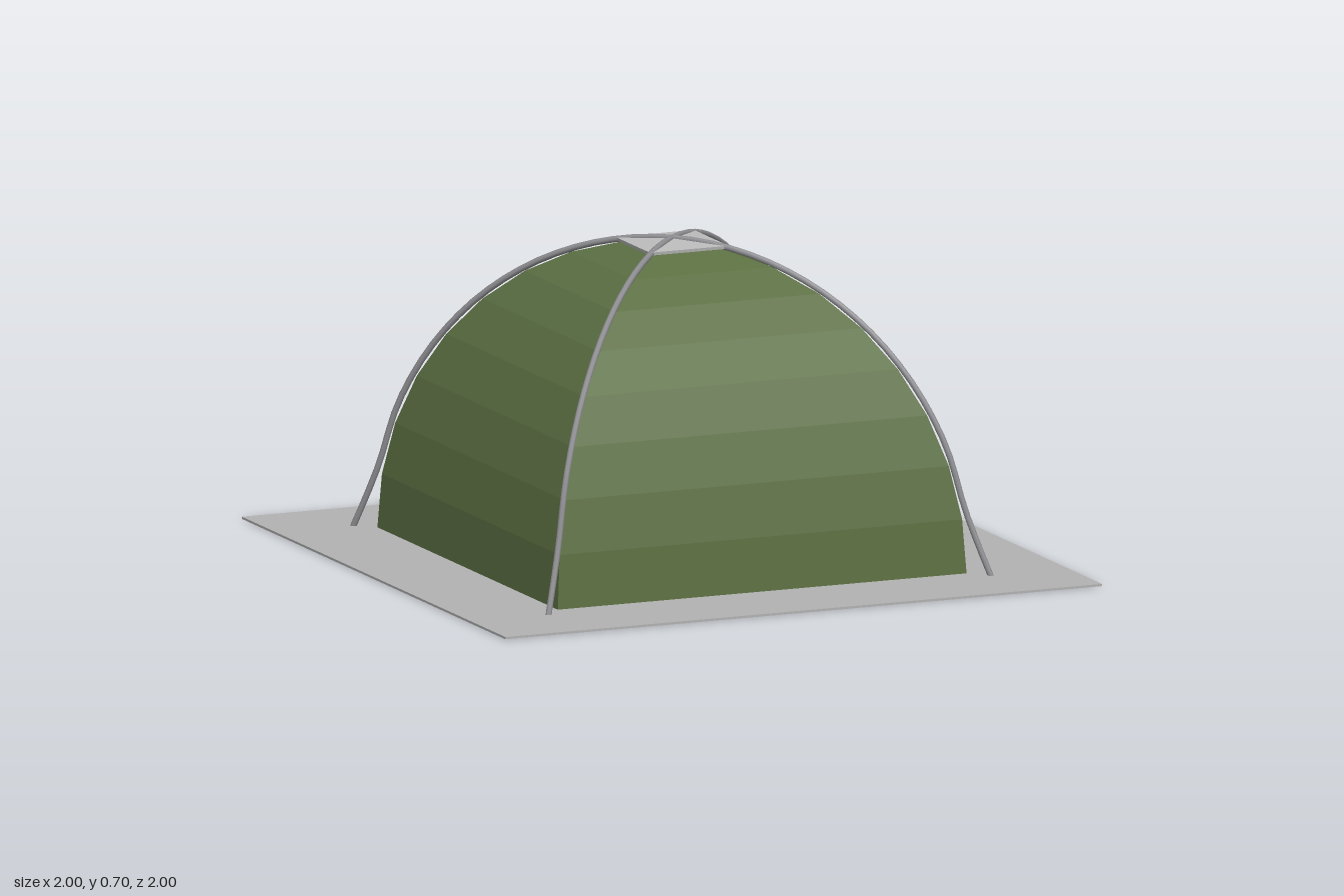
import * as THREE from 'three';

const WALL_R = 0.685, DEG = Math.PI / 180;

const material = (name, color, side = THREE.FrontSide) =>
  new THREE.MeshStandardMaterial({ name, color, side });

// Facet every face of a geometry
function faceted(geometry) {
  const g = geometry.toNonIndexed();
  g.computeVertexNormals();
  return g;
}

export function createModel() {
  const tent = new THREE.Group();
  tent.name = 'domeTent';

  const canvas = material('olive canvas', 0x5c7043, THREE.DoubleSide);
  const sheetGrey = material('ground sheet grey', 0xb3b3b3);
  const panelGrey = material('panel grey', 0xbcbcbc, THREE.DoubleSide);
  const poleGrey = material('pole grey', 0x8e8e92, THREE.DoubleSide);

  function add(name, geometry, mat) {
    const mesh = new THREE.Mesh(geometry, mat);
    mesh.name = name;
    tent.add(mesh);
    return mesh;
  }

  // Square ground sheet, corners on the axes
  add('groundSheet', faceted(new THREE.CylinderGeometry(1, 1, 0.005, 4)), sheetGrey).position.y = 0.0025;

  // Four curved walls: a quarter arc turned in four steps
  const profile = [];
  for (let a = 0; a <= 80; a += 10) {
    profile.push(new THREE.Vector2(WALL_R * Math.cos(a * DEG), 0.005 + WALL_R * Math.sin(a * DEG)));
  }
  profile.push(new THREE.Vector2(0, 0.685));
  add('walls', faceted(new THREE.LatheGeometry(profile, 4)), canvas);

  // Shallow cap over the crown
  const cap = [[0.13, 0.682], [0.132, 0.689], [0, 0.698]].map(([r, y]) => new THREE.Vector2(r, y));
  add('roofCap', faceted(new THREE.LatheGeometry(cap, 4)), panelGrey);

  // Two crossing poles with splayed feet
  const path = [new THREE.Vector3(0.742, 0.002, 0), new THREE.Vector3(0.712, 0.07, 0)];
  for (let a = 12; a <= 168; a += 12) {
    path.push(new THREE.Vector3(0.697 * Math.cos(a * DEG), 0.697 * Math.sin(a * DEG), 0));
  }
  path.push(new THREE.Vector3(-0.712, 0.07, 0), new THREE.Vector3(-0.742, 0.002, 0));
  const poleGeometry = new THREE.TubeGeometry(new THREE.CatmullRomCurve3(path), 48, 0.007, 8);
  add('poleAcross', poleGeometry, poleGrey);
  add('poleFrontToBack', poleGeometry, poleGrey).rotation.y = Math.PI / 2;

  // Door panel: a box bent to follow the wall, narrowed at its top corners
  const door = new THREE.BoxGeometry(0.304, 1, 1, 1, 8, 1);
  const p = door.attributes.position;
  for (let i = 0; i < p.count; i++) {
    const t = p.getY(i) + 0.5;
    const a = (1.2 + 33.4 * t) * DEG;
    const offset = p.getZ(i) > 0 ? 0.012 : -0.006;
    p.setXYZ(i,
      p.getX(i) * (t > 0.99 ? 0.9 : 1),
      0.005 + WALL_R * Math.sin(a),
      WALL_R * Math.cos(a) * Math.SQRT1_2 + offset);
  }
  add('door', faceted(door), panelGrey).rotation.y = 0.75 * Math.PI;

  return tent;
}
